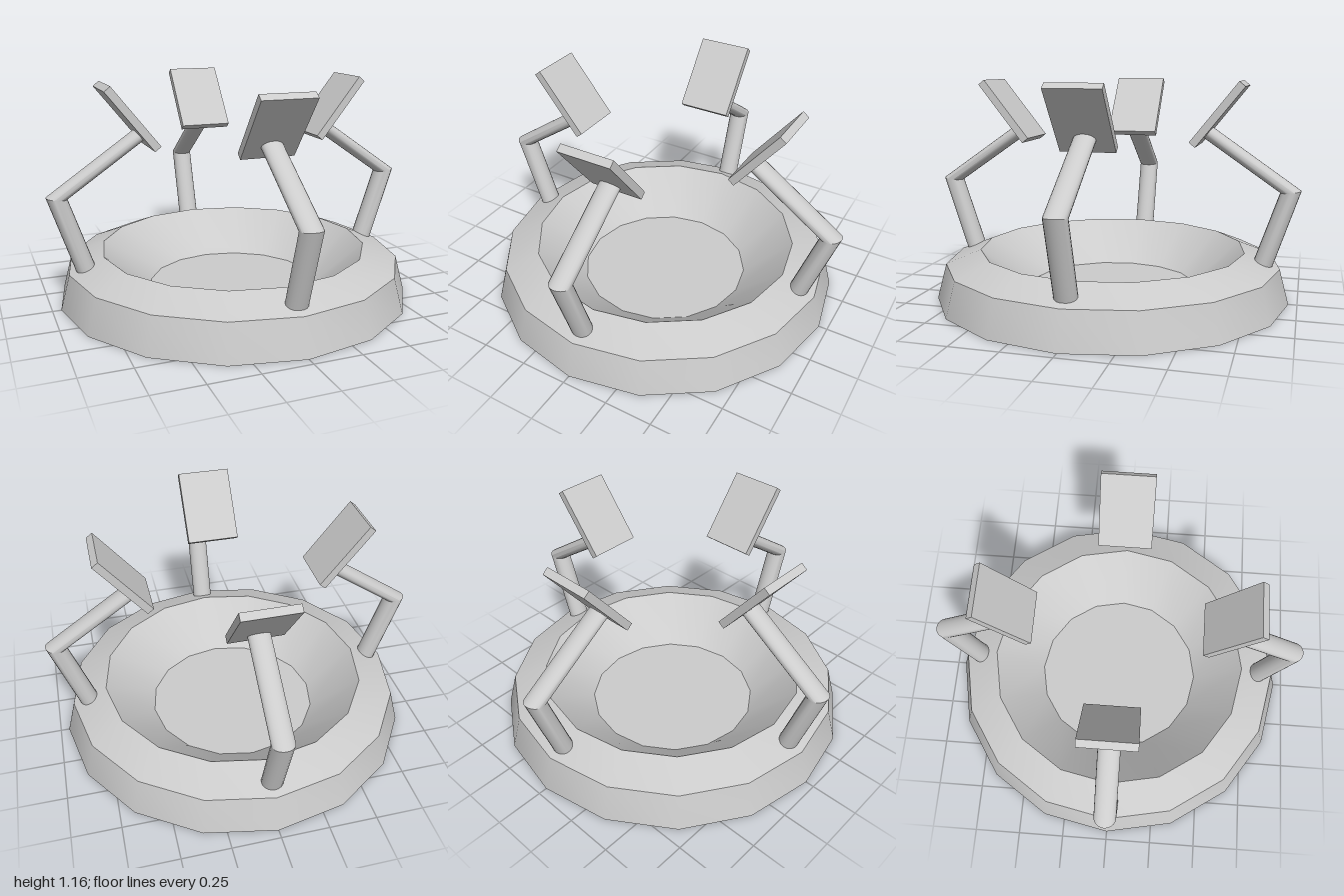
import * as THREE from 'three';
import { toCreasedNormals } from 'three/addons/utils/BufferGeometryUtils.js';

const grey = new THREE.MeshStandardMaterial({ color: 0xcccccc });

function part(name, geometry, parent) {
  const mesh = new THREE.Mesh(toCreasedNormals(geometry, 0.6), grey);
  mesh.name = name;
  parent.add(mesh);
  return mesh;
}

// Sixteen-sided dish: flared side, sloping rim, sunken floor
function bowlGeometry() {
  const profile = [[0, 0], [0.955, 0], [0.905, 0.187], [0.72, 0.26], [0.46, 0.037], [0, 0.037]];
  return new THREE.LatheGeometry(profile.map(([r, y]) => new THREE.Vector2(r, y)), 16);
}

// Bent arm: each ring of a cylinder is moved to span an outer and an inner point
function armGeometry() {
  const rings = [
    { outer: [0.85, 0.15], inner: [0.755, 0.185] },   // foot, sunk into the rim
    { outer: [1.0, 0.607], inner: [0.893, 0.594] },   // elbow
    { outer: [0.528, 0.933], inner: [0.485, 0.874] }, // end, sunk into the panel
  ];
  const geometry = new THREE.CylinderGeometry(1, 1, 2, 20, 2);
  const pos = geometry.attributes.position;
  for (let i = 0; i < pos.count; i++) {
    const { outer, inner } = rings[Math.round(pos.getY(i)) + 1];
    const t = (1 + pos.getX(i)) / 2;
    pos.setXYZ(i,
      inner[0] + (outer[0] - inner[0]) * t,
      inner[1] + (outer[1] - inner[1]) * t,
      pos.getZ(i) * 0.057);
  }
  return geometry;
}

export function createModel() {
  const model = new THREE.Group();
  model.name = 'dishWithPanels';
  part('bowl', bowlGeometry(), model);

  // Four identical arms with tilted panels facing the middle
  for (let i = 0; i < 4; i++) {
    const unit = new THREE.Group();
    unit.name = 'panelArm' + (i + 1);
    unit.rotation.y = i * Math.PI / 2;
    part('arm', armGeometry(), unit);
    const panel = part('panel', new THREE.BoxGeometry(0.041, 0.396, 0.284), unit);
    panel.position.set(0.575, 0.997, 0);
    panel.rotation.z = -0.672;
    model.add(unit);
  }
  return model;
}
